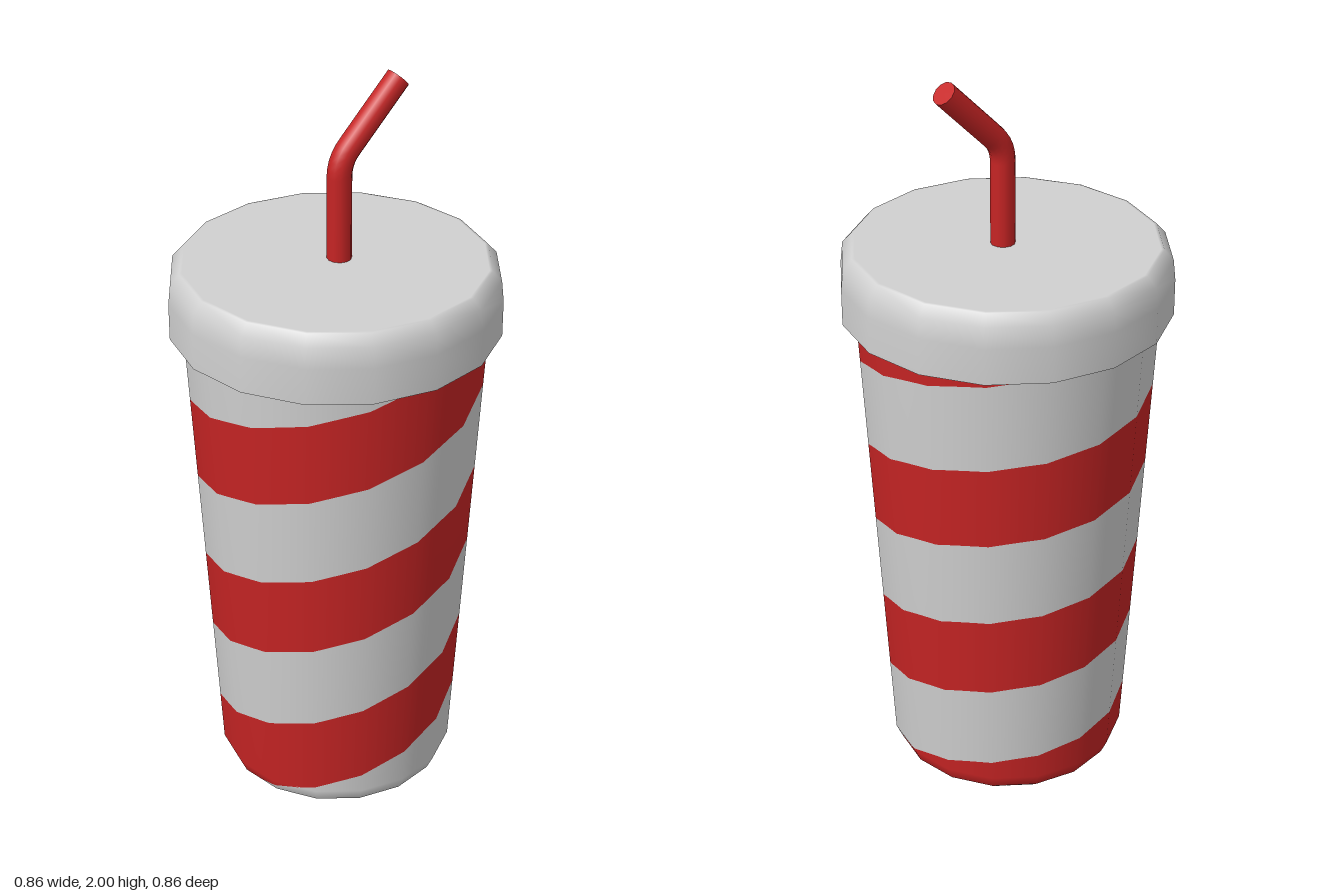
import * as THREE from 'three';

const SIDES = 16; // facets around the cup and lid
const STEPS = 6; // subdivisions of each facet, so the stripe edge is smooth
const white = new THREE.MeshStandardMaterial({ color: 0xd0d0d0 });
white.name = 'paperWhite';
const red = new THREE.MeshStandardMaterial({ color: 0xc62424 });
red.name = 'stripeRed';

function addMesh(group, name, geometry, material) {
  const mesh = new THREE.Mesh(geometry, material);
  mesh.name = name;
  group.add(mesh);
  return mesh;
}

function lathe(points) {
  return new THREE.LatheGeometry(points.map(([r, y]) => new THREE.Vector2(r, y)), SIDES);
}

// Wall rows: bottom and top height, radius and upward tilt of the normal
const ROWS = [
  { y: [0.02, 0.06], r: [0.304, 0.322], ny: [-0.55, -0.08] },
  { y: [0.06, 1.36], r: [0.322, 0.395], ny: [-0.08, -0.05] },
];

// One spiral stripe: top edge at a given angle, measured from +z towards +x
const PITCH = 0.48;
const STRIPE = 0.232;
const stripeTop = (a, turn) =>
  0.392 + PITCH * (a / (Math.PI * 2) + turn) + 0.035 * Math.sin(a);

// Point and normal on the faceted wall for column j and height y
function wallPoint(j, y, row) {
  const t = (y - row.y[0]) / (row.y[1] - row.y[0]);
  const r = THREE.MathUtils.lerp(row.r[0], row.r[1], t);
  const ny = THREE.MathUtils.lerp(row.ny[0], row.ny[1], t);
  const f = (j % STEPS) / STEPS;
  const a0 = (Math.floor(j / STEPS) / SIDES) * Math.PI * 2;
  const a1 = a0 + (Math.PI * 2) / SIDES;
  const sx = THREE.MathUtils.lerp(Math.sin(a0), Math.sin(a1), f);
  const sz = THREE.MathUtils.lerp(Math.cos(a0), Math.cos(a1), f);
  return {
    p: [r * sx, y, r * sz],
    n: new THREE.Vector3(sx, 0, sz).normalize().setY(ny).normalize().toArray(),
  };
}

// Tapered wall divided along the spiral into white and red faces
function buildWall(wantRed) {
  const pos = [];
  const nor = [];
  const columns = SIDES * STEPS;
  for (const row of ROWS) {
    const clip = (y) => THREE.MathUtils.clamp(y, row.y[0], row.y[1]);
    for (let j = 0; j < columns; j++) {
      for (let turn = -2; turn <= 3; turn++) {
        // red lies below the stripe's top edge, white above it
        const edges = [j, j + 1].map((c) => {
          const top = stripeTop((c / columns) * Math.PI * 2, turn);
          return wantRed
            ? [clip(top - STRIPE), clip(top)]
            : [clip(top), clip(top + PITCH - STRIPE)];
        });
        const [[a0, a1], [b0, b1]] = edges;
        if (a1 - a0 < 1e-6 && b1 - b0 < 1e-6) continue;
        const a = wallPoint(j, a0, row);
        const b = wallPoint(j + 1, b0, row);
        const c = wallPoint(j + 1, b1, row);
        const d = wallPoint(j, a1, row);
        for (const v of [a, b, c, a, c, d]) {
          pos.push(...v.p);
          nor.push(...v.n);
        }
      }
    }
  }
  const g = new THREE.BufferGeometry();
  g.setAttribute('position', new THREE.Float32BufferAttribute(pos, 3));
  g.setAttribute('normal', new THREE.Float32BufferAttribute(nor, 3));
  return g;
}

export function createModel() {
  const model = new THREE.Group();
  model.name = 'drinkCup';

  // Cup wall, spiral stripe and rounded base
  addMesh(model, 'cupWall', buildWall(false), white);
  addMesh(model, 'spiralStripe', buildWall(true), red);
  addMesh(model, 'cupBase', lathe([[0, 0], [0.28, 0], [0.28, 0], [0.304, 0.02]]), white);

  // Lid with a bevelled top edge
  addMesh(model, 'lid', lathe([
    [0.39, 1.352], [0.43, 1.352], [0.43, 1.352], [0.43, 1.45],
    [0.424, 1.505], [0.4, 1.532], [0.392, 1.533], [0, 1.533],
  ]), white);

  // Bent straw with a closed end
  const bottom = new THREE.Vector3(0.012, 1.5, 0);
  const bendStart = new THREE.Vector3(0.012, 1.755, 0);
  const bend = new THREE.Vector3(0.012, 1.798, 0);
  const bendEnd = new THREE.Vector3(0.042, 1.828, 0);
  const end = new THREE.Vector3(0.19, 1.977, 0);
  const path = new THREE.CurvePath();
  path.add(new THREE.LineCurve3(bottom, bendStart));
  path.add(new THREE.QuadraticBezierCurve3(bendStart, bend, bendEnd));
  path.add(new THREE.LineCurve3(bendEnd, end));
  addMesh(model, 'straw', new THREE.TubeGeometry(path, 32, 0.032, 12), red);
  const cap = addMesh(model, 'strawEnd', new THREE.CircleGeometry(0.032, 12), red);
  cap.position.copy(end);
  cap.lookAt(end.clone().add(end.clone().sub(bendEnd)));

  return model;
}
